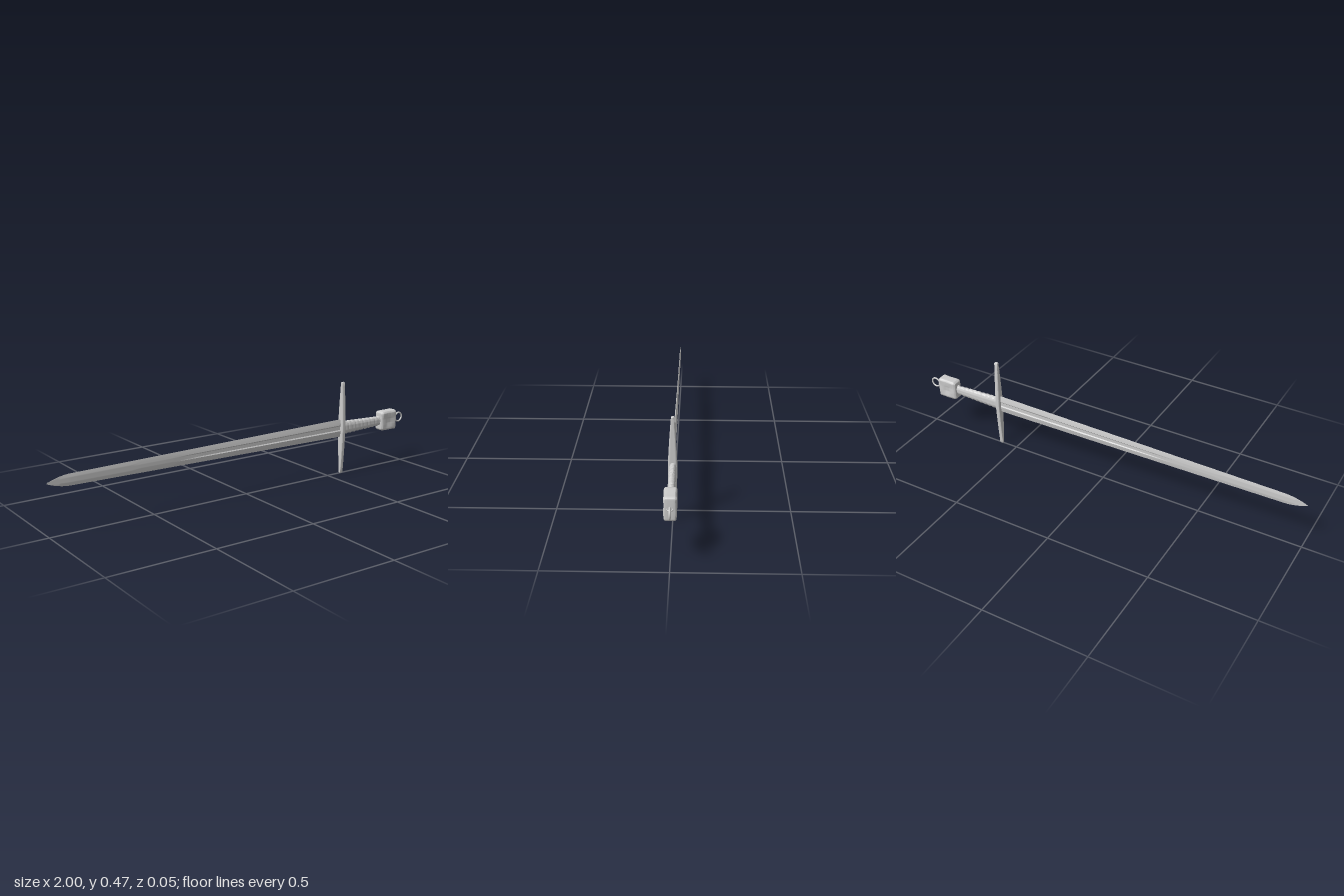
import * as THREE from 'three';
import { toCreasedNormals } from 'three/addons/utils/BufferGeometryUtils.js';
import { RoundedBoxGeometry } from 'three/addons/geometries/RoundedBoxGeometry.js';

const MID = 0.235; // height of the sword's long axis
const material = new THREE.MeshStandardMaterial({ color: 0xcccccc });

// Skins rings of [y, z] points along x and closes both ends
function loft(xs, ringAt, crease = 0.6) {
  const pos = [], index = [];
  let n = 0;
  for (const x of xs) {
    const ring = ringAt(x);
    n = ring.length;
    for (const [y, z] of ring) pos.push(x, y, z);
  }
  for (let i = 0; i < xs.length - 1; i++) {
    for (let j = 0; j < n; j++) {
      const a = i * n + j, b = i * n + (j + 1) % n;
      index.push(a, b, a + n, b, b + n, a + n);
    }
  }
  const end = (xs.length - 1) * n;
  for (let j = 1; j < n - 1; j++) {
    index.push(0, j + 1, j, end, end + j, end + j + 1);
  }
  const g = new THREE.BufferGeometry();
  g.setAttribute('position', new THREE.Float32BufferAttribute(pos, 3));
  g.setIndex(index);
  return toCreasedNormals(g, crease);
}

const steps = (from, to, count) =>
  Array.from({ length: count + 1 }, (_, i) => from + (to - from) * i / count);

// Superellipse ring: power 1 is an ellipse, smaller is boxier
function oval(ry, rz, count, power = 1) {
  return steps(0, Math.PI * 2, count).slice(0, count).map((a) => {
    const c = Math.cos(a), s = Math.sin(a);
    return [ry * Math.sign(c) * Math.abs(c) ** power, rz * Math.sign(s) * Math.abs(s) ** power];
  });
}

// Tapered blade with a fuller that fades out towards the point
function bladeRing(x) {
  const tip = Math.min(1, (x + 1) / 0.11);
  const h = (0.0265 + 0.0185 * (x + 0.89) / 1.47) * Math.max(0.02, Math.sin(tip * Math.PI / 2) ** 0.8);
  const t = (0.0035 + 0.003 * THREE.MathUtils.smoothstep(x, -0.6, 0.2)) * Math.max(0.1, tip);
  const groove = t * (1 - 0.6 * THREE.MathUtils.smoothstep(x, -0.45, -0.15));
  const half = [[1, 0], [0.5, t * 0.85], [0.33, t], [0.2, groove], [-0.2, groove], [-0.33, t], [-0.5, t * 0.85], [-1, 0]];
  const back = half.slice(1, -1).reverse().map(([y, z]) => [y, -z]);
  return [...half, ...back].map(([y, z]) => [y * h, z]);
}

// Tapering grip wound with a spiral cord
function gripRing(x) {
  const t = (x - 0.59) / 0.255;
  const ry = 0.035 - 0.011 * t, rz = 0.0165 - 0.0025 * t;
  return oval(ry, rz, 28).map(([y, z], i) => {
    const phase = t * 10 * Math.PI - i / 28 * Math.PI;
    const k = 0.84 + 0.18 * Math.sqrt(Math.abs(Math.sin(phase)));
    return [y * k, z * k];
  });
}

// Worn block pommel with bulging rims and a shallow dish on each broad face
function pommelGeometry() {
  const g = new RoundedBoxGeometry(0.1, 0.1, 0.05, 10, 0.01);
  const p = g.attributes.position;
  // Spread the flat faces into a finer grid by rebuilding from a plain box
  const box = new THREE.BoxGeometry(0.1, 0.1, 0.05, 24, 24, 12);
  g.dispose();
  const q = box.attributes.position, v = new THREE.Vector3(), core = new THREE.Vector3();
  const r = 0.009;
  for (let i = 0; i < q.count; i++) {
    v.fromBufferAttribute(q, i);
    core.set(
      THREE.MathUtils.clamp(v.x, -0.05 + r, 0.05 - r),
      THREE.MathUtils.clamp(v.y, -0.05 + r, 0.05 - r),
      THREE.MathUtils.clamp(v.z, -0.025 + r, 0.025 - r));
    v.sub(core).normalize().multiplyScalar(r).add(core);
    const d = Math.hypot(v.x, v.y) / 0.022;
    v.z *= 1.03 - 0.2 * Math.exp(-d * d) + 0.03 * Math.sin(v.x * 90 + 1) * Math.sin(v.y * 110);
    v.y *= 1 + 0.025 * v.x / 0.05 - 0.012 * Math.sin(v.x * 70);
    v.x *= 1.03 - 0.03 * (v.y / 0.05) ** 2;
    q.setXYZ(i, v.x, v.y, v.z);
  }
  box.computeVertexNormals();
  return toCreasedNormals(box, 0.9);
}

export function createModel() {
  const sword = new THREE.Group();
  sword.name = 'sword';
  const add = (name, geometry, x = 0, y = MID) => {
    const mesh = new THREE.Mesh(geometry, material);
    mesh.name = name;
    mesh.position.set(x, y, 0);
    sword.add(mesh);
    return mesh;
  };

  add('blade', loft([...steps(-1, -0.89, 12), ...steps(-0.85, 0.58, 30)], bladeRing, 0.3));

  // Straight crossguard, narrowing towards both ends
  const guard = add('crossguard', loft(
    [-0.234, ...steps(-0.231, 0.231, 24), 0.234],
    (x) => {
      const t = Math.abs(x) / 0.234, end = t > 0.995 ? 0.75 : 1;
      return oval((0.0125 - 0.003 * t) * end, (0.02 - 0.0135 * t ** 1.4) * end, 24, 0.55);
    }), 0.586, 0.234);
  guard.rotation.z = Math.PI / 2;

  add('grip', loft(steps(0.59, 0.845, 120), gripRing, 1));
  add('pommel', pommelGeometry(), 0.886, 0.234);

  // Small staple on the pommel end, holding the hanging ring
  const staple = add('staple', new THREE.TorusGeometry(0.011, 0.003, 8, 20), 0.94, 0.237);
  staple.rotation.x = Math.PI / 2;
  add('ring', new THREE.TorusGeometry(0.0225, 0.0042, 10, 36), 0.9733, 0.237);

  return sword;
}
